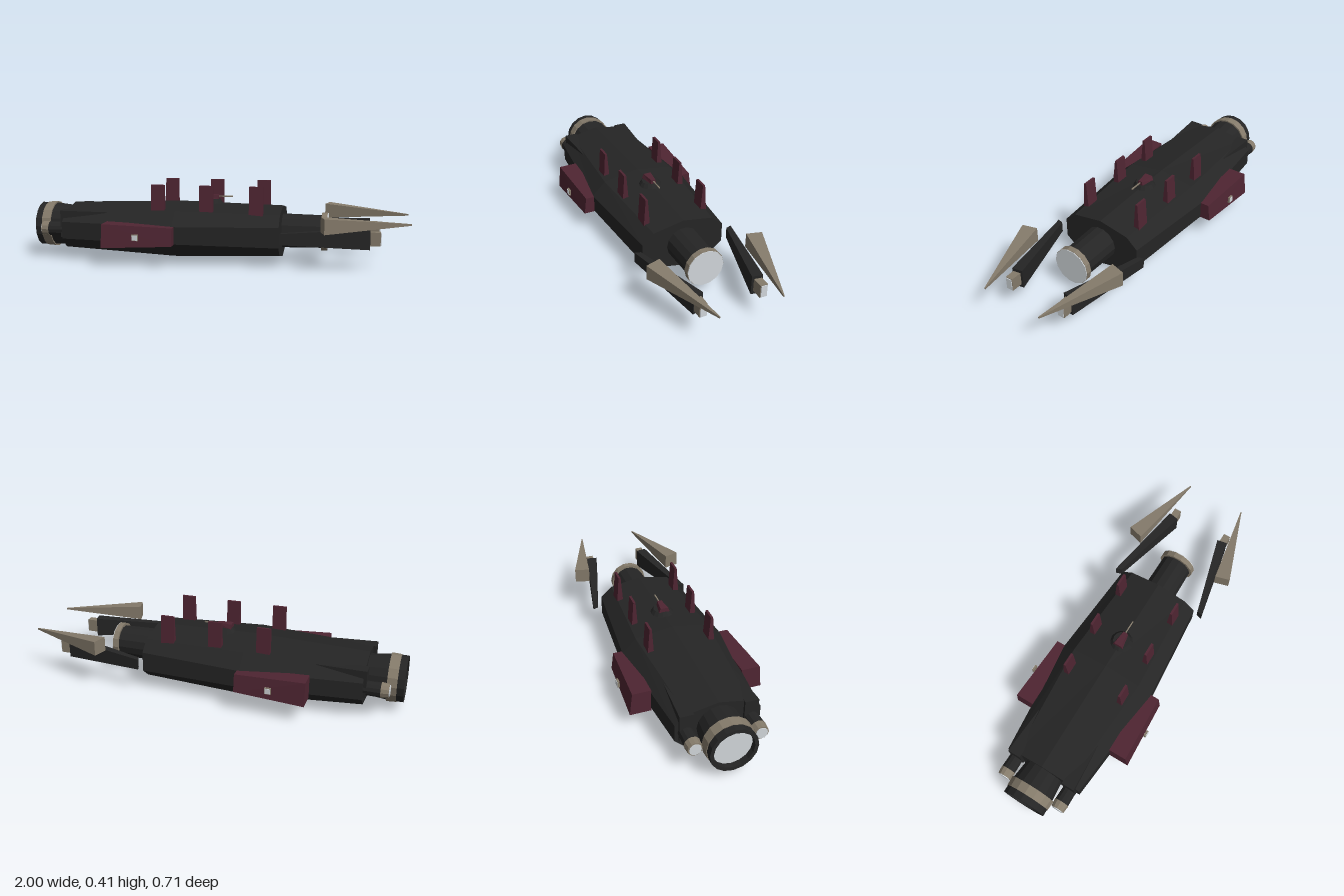
import * as THREE from 'three';

const mat = (name, color, opts = {}) => {
  const m = new THREE.MeshStandardMaterial({ color, flatShading: true, ...opts });
  m.name = name;
  return m;
};

export function createModel() {
  const dark = mat('charcoal hull', 0x252525);
  const maroon = mat('maroon panel', 0x4f2532);
  const beige = mat('beige metal', 0x857b6b);
  const pale = mat('pale light', 0xd0d5d9);
  const ship = new THREE.Group();
  ship.name = 'spaceship';
  const CY = 0.16; // height of the engine axis

  const add = (name, geo, material) => {
    const mesh = new THREE.Mesh(geo, material);
    mesh.name = name;
    ship.add(mesh);
    return mesh;
  };

  // Closed solid through rings of [x, y, z] corners, always wound outward
  const loft = (rings) => {
    const tris = [];
    const n = rings[0].length;
    for (let r = 0; r < rings.length - 1; r++) {
      for (let i = 0; i < n; i++) {
        const j = (i + 1) % n, a = rings[r], b = rings[r + 1];
        tris.push([a[i], b[i], b[j]], [a[i], b[j], a[j]]);
      }
    }
    const first = rings[0], last = rings[rings.length - 1];
    for (let i = 1; i < n - 1; i++) {
      tris.push([first[0], first[i], first[i + 1]], [last[0], last[i + 1], last[i]]);
    }
    const v = (p) => new THREE.Vector3(...p);
    const o = v(first[0]);
    let volume = 0;
    tris.forEach(([a, b, c]) => {
      volume += v(a).sub(o).dot(v(b).sub(o).cross(v(c).sub(o)));
    });
    if (volume < 0) tris.forEach((t) => t.reverse());
    const geo = new THREE.BufferGeometry();
    geo.setAttribute('position', new THREE.Float32BufferAttribute(tris.flat(2), 3));
    geo.computeVertexNormals();
    return geo;
  };

  // Rectangle across x, from y0..y1 and z0..z1
  const rect = (x, y0, y1, z0, z1, s = 1) =>
    [[x, y0, z0 * s], [x, y1, z0 * s], [x, y1, z1 * s], [x, y0, z1 * s]];

  const box = (name, x0, x1, y0, y1, z0, z1, material) =>
    add(name, loft([rect(x0, y0, y1, z0, z1), rect(x1, y0, y1, z0, z1)]), material);

  // Cylinder along x, radius r0 at x0 and r1 at x1
  const tube = (name, x0, x1, r0, r1, z, material, sides = 16) => {
    const geo = new THREE.CylinderGeometry(r0, r1, x1 - x0, sides);
    geo.rotateZ(Math.PI / 2).translate((x0 + x1) / 2, CY, z);
    return add(name, geo, material);
  };

  // Nozzle cup open to the rear
  const cup = (name, x0, x1, rOut, rIn, z, material) => {
    const pts = [[rIn, x1 - x0], [rIn, 0], [rOut, 0], [rOut, x1 - x0]]
      .map(([r, d]) => new THREE.Vector2(r, d));
    const geo = new THREE.LatheGeometry(pts, 16);
    geo.rotateZ(-Math.PI / 2).translate(x0, CY, z);
    return add(name, geo, material);
  };

  // Hull: a ten-sided section, widest a little behind the middle
  const section = (x, top, shoulderY, shoulderZ, side, sideTop, sideLow, keelY, keelZ, low) => {
    const half = [[top, 0], [shoulderY, shoulderZ], [sideTop, side], [sideLow, side], [keelY, keelZ], [low, 0]];
    const other = half.slice(1, 5).reverse().map(([y, z]) => [y, -z]);
    return half.concat(other).map(([y, z]) => [x, y, z]);
  };
  add('hull', loft([
    section(-0.81, 0.285, 0.255, 0.155, 0.213, 0.205, 0.115, 0.062, 0.155, 0.03),
    section(-0.2, 0.306, 0.275, 0.197, 0.27, 0.205, 0.115, 0.041, 0.195, 0.002),
    section(0.345, 0.294, 0.264, 0.165, 0.226, 0.21, 0.105, 0.055, 0.165, 0.02),
  ]), dark);

  // Forward nozzle
  tube('noseBarrel', 0.34, 0.56, 0.09, 0.086, 0, dark, 14);
  tube('noseRing', 0.55, 0.58, 0.1, 0.1, 0, beige, 14);
  tube('noseLight', 0.58, 0.584, 0.098, 0.098, 0, pale, 14);

  // Main rear engine
  tube('engineBody', -0.92, -0.8, 0.118, 0.105, 0, dark);
  tube('engineRing', -0.965, -0.915, 0.122, 0.125, 0, beige);
  cup('engineRim', -1, -0.965, 0.119, 0.1, 0, dark);
  tube('engineLight', -0.972, -0.965, 0.1, 0.1, 0, pale);

  // Turret on the spine
  const base = new THREE.CylinderGeometry(0.045, 0.06, 0.022, 14);
  add('turretBase', base.translate(-0.04, 0.311, 0), dark);
  const turretRing = (y, k) => [[-0.08, y, -0.03 * k], [0, y, -0.016 * k], [0, y, 0.016 * k], [-0.08, y, 0.03 * k]];
  add('turretHead', loft([turretRing(0.32, 1), turretRing(0.344, 0.7)]), maroon);
  box('turretBarrel', 0, 0.075, 0.332, 0.338, -0.003, 0.003, beige);

  for (const s of [1, -1]) {
    const side = s > 0 ? 'left' : 'right';

    // Tapered dorsal fins
    for (const x of [-0.295, -0.038, 0.222]) {
      const ring = (y, w) => [[x - 0.036, y, s * (0.161 - w)], [x + 0.036, y, s * (0.161 - w)],
        [x + 0.036, y, s * (0.161 + w)], [x - 0.036, y, s * (0.161 + w)]];
      add(side + 'Fin', loft([ring(0.255, 0.017), ring(0.408, 0.006)]), maroon);
    }

    // Side armour pod with a small lamp
    const pod = (x, y0, y1, out, low) =>
      [[x, y0, s * 0.235], [x, y1, s * 0.235], [x, y1, s * out], [x, y0, s * low]];
    add(side + 'Pod', loft([pod(-0.552, 0.098, 0.22, 0.331, 0.344), pod(-0.187, 0.114, 0.206, 0.315, 0.327)]), maroon);
    box(side + 'PodLamp', -0.386, -0.354, 0.142, 0.175, s * 0.342, s * 0.352, beige);
    box(side + 'PodLampFace', -0.383, -0.357, 0.145, 0.172, s * 0.352, s * 0.355, pale);

    // Forward arm with a boxed lamp at the tip
    add(side + 'Arm', loft([
      [[0.362, 0.132, s * 0.243], [0.362, 0.188, s * 0.243], [0.352, 0.188, s * 0.274], [0.352, 0.132, s * 0.274]],
      [[0.79, 0.105, s * 0.13], [0.79, 0.21, s * 0.13], [0.8, 0.21, s * 0.185], [0.8, 0.105, s * 0.185]],
    ]), dark);
    box(side + 'ArmLamp', 0.785, 0.851, 0.124, 0.194, s * 0.141, s * 0.18, beige);
    box(side + 'ArmLampFace', 0.851, 0.855, 0.127, 0.191, s * 0.144, s * 0.177, pale);

    // Long pointed prong
    add(side + 'Prong', loft([
      [[0.555, 0.197, s * 0.237], [0.555, 0.275, s * 0.237], [0.577, 0.275, s * 0.315], [0.577, 0.197, s * 0.315]],
      rect(1, 0.232, 0.24, 0.162, 0.167, s),
    ]), beige);

    // Small rear thruster under a wedge fairing
    tube(side + 'ThrusterBody', -0.9, -0.8, 0.038, 0.036, s * 0.162, dark, 12);
    tube(side + 'ThrusterRing', -0.935, -0.895, 0.036, 0.04, s * 0.162, beige, 12);
    tube(side + 'ThrusterLight', -0.939, -0.935, 0.03, 0.03, s * 0.162, pale, 12);
    add(side + 'Fairing', loft([
      rect(-0.825, 0.12, 0.262, 0.125, 0.195, s),
      rect(-0.57, 0.12, 0.258, 0.14, 0.18, s),
    ]), dark);
  }
  return ship;
}
